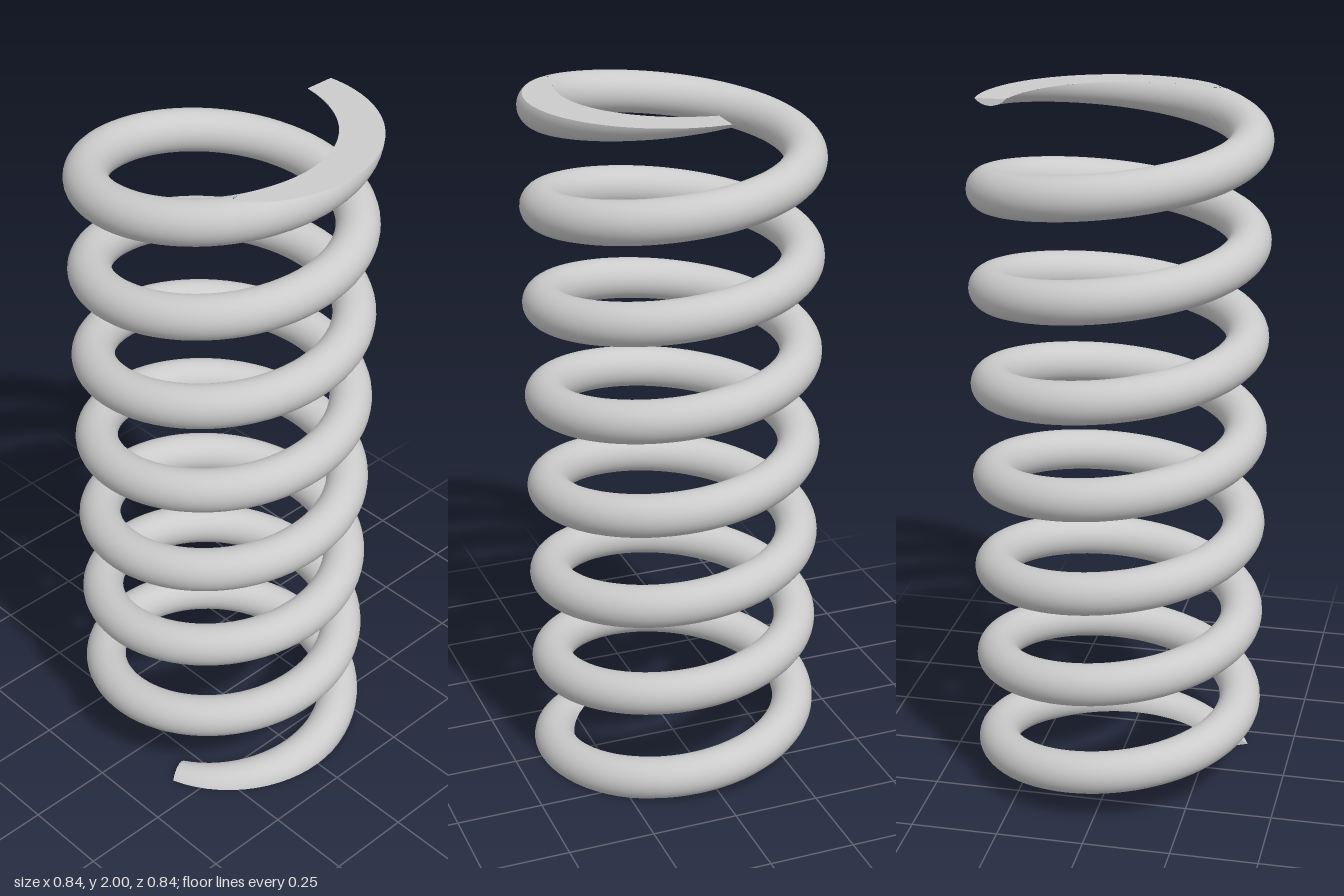
import * as THREE from 'three';

const COIL = 0.36, WIRE = 0.06, PITCH = 0.28;
const TURN = Math.PI * 2;
const SLOPE = Math.atan(PITCH / (TURN * COIL));
const RISE = WIRE * Math.cos(SLOPE); // vertical half-thickness of the sloping wire

const heightAt = t => 0.08 + PITCH * t / TURN;
const angleAt = y => (y - 0.08) / PITCH * TURN;
const START = angleAt(-0.04), MIDDLE = angleAt(1), GROUND_END = angleAt(RISE);

// Grid surface; fn(u, v) returns [position, normal], the front faces du x dv
function grid(nu, nv, fn) {
  const pos = [], nor = [], idx = [];
  for (let i = 0; i <= nu; i++) {
    for (let j = 0; j <= nv; j++) {
      const [p, n] = fn(i / nu, j / nv);
      pos.push(p.x, p.y, p.z);
      nor.push(n.x, n.y, n.z);
      if (i < nu && j < nv) {
        const a = i * (nv + 1) + j, b = a + nv + 1;
        idx.push(a, b, a + 1, b, b + 1, a + 1);
      }
    }
  }
  const g = new THREE.BufferGeometry();
  g.setAttribute('position', new THREE.Float32BufferAttribute(pos, 3));
  g.setAttribute('normal', new THREE.Float32BufferAttribute(nor, 3));
  g.setIndex(idx);
  return g;
}

// Point and normal on the wire: t runs along the helix, a around the wire from its underside
function wirePoint(t, a) {
  const c = Math.cos(t), s = Math.sin(t), k = Math.sin(SLOPE);
  const out = new THREE.Vector3(c, 0, -s);
  const up = new THREE.Vector3(s * k, Math.cos(SLOPE), c * k);
  const n = out.clone().multiplyScalar(Math.sin(a)).addScaledVector(up, -Math.cos(a));
  const p = out.multiplyScalar(COIL).addScaledVector(n, WIRE);
  p.y += heightAt(t) - 1; // measured from mid height
  return [p, n];
}

// Angle from the underside at which the ground plane cuts the wire
const cutAngle = t => Math.acos(THREE.MathUtils.clamp(heightAt(t) / RISE, -1, 1));

export function createModel() {
  const model = new THREE.Group();
  model.name = 'coilSpring';
  const material = new THREE.MeshStandardMaterial({ color: 0xcccccc });
  const lerp = THREE.MathUtils.lerp;

  // Round wire of the lower half, open where it is ground flat
  const wire = grid(270, 28, (u, v) => {
    const t = lerp(START, MIDDLE, u), a = cutAngle(t);
    return wirePoint(t, lerp(a, TURN - a, v));
  });

  // Flat ground face under the last turn
  const down = new THREE.Vector3(0, -1, 0);
  const flat = grid(48, 1, (u, v) => {
    const t = lerp(START, GROUND_END, u), a = cutAngle(t);
    return [wirePoint(t, v ? a : TURN - a)[0], down];
  });

  // Cut end of the wire
  const back = new THREE.Vector3(
    Math.sin(START) * Math.cos(SLOPE), -Math.sin(SLOPE), Math.cos(START) * Math.cos(SLOPE));
  const end = grid(1, 10, (u, v) => {
    const a = lerp(cutAngle(START), Math.PI, v);
    return [wirePoint(START, u ? a : TURN - a)[0], back];
  });

  // The upper half is the lower one turned over about a level axis at mid height
  const axis = new THREE.Vector3(Math.cos(MIDDLE), 0, -Math.sin(MIDDLE));
  for (const [name, turn] of [['lower', 0], ['upper', Math.PI]]) {
    const half = new THREE.Group();
    half.name = name + 'Half';
    half.position.y = 1;
    half.quaternion.setFromAxisAngle(axis, turn);
    for (const [part, geometry] of [['Coil', wire], ['GroundFace', flat], ['WireEnd', end]]) {
      const mesh = new THREE.Mesh(geometry, material);
      mesh.name = name + part;
      half.add(mesh);
    }
    model.add(half);
  }
  return model;
}
